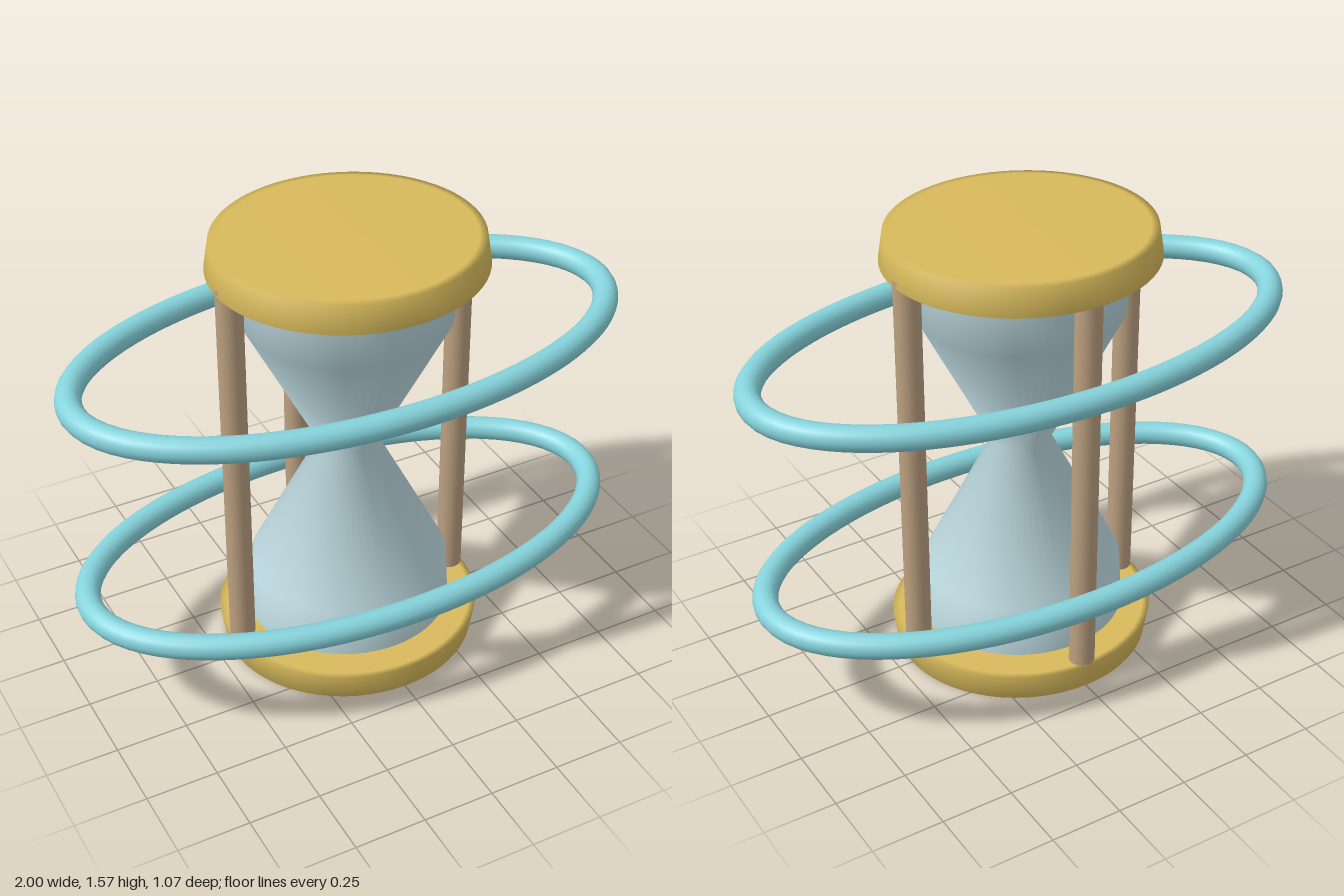
import * as THREE from 'three';

const material = (name, color, side = THREE.FrontSide) => {
  const m = new THREE.MeshStandardMaterial({ color, side });
  m.name = name;
  return m;
};

const lathe = (points) =>
  new THREE.LatheGeometry(points.map(([r, y]) => new THREE.Vector2(r, y)), 64);

// Closed horizontal ellipse for the orbit rings
class EllipseLoop extends THREE.Curve {
  getPoint(t, target = new THREE.Vector3()) {
    const a = t * Math.PI * 2;
    return target.set(0.955 * Math.cos(a), 0, 0.49 * Math.sin(a));
  }
}

export function createModel() {
  const gold = material('gold', 0xd8ba5c);
  const wood = material('wood', 0xbca080);
  const glass = material('glass', 0xbddae0);
  const aqua = material('aqua', 0x86d3dc);

  const model = new THREE.Group();
  model.name = 'hourglass';
  const add = (parent, name, geometry, mat, x = 0, y = 0, z = 0) => {
    const mesh = new THREE.Mesh(geometry, mat);
    mesh.name = name;
    mesh.position.set(x, y, z);
    parent.add(mesh);
    return mesh;
  };

  // The frame and bulbs are slightly narrower front to back
  const body = new THREE.Group();
  body.name = 'body';
  body.scale.z = 0.95;
  model.add(body);

  // End plates, each flaring toward the glass
  add(body, 'bottomPlate', lathe([[0, 0], [0.42, 0], [0.448, 0.002], [0.463, 0.1], [0.44, 0.1], [0, 0.1]]), gold);
  add(body, 'topPlate', lathe([[0, 1.475], [0.44, 1.475], [0.463, 1.475], [0.448, 1.57], [0.42, 1.572], [0, 1.572]]), gold);

  // Two bulbs meeting at a narrow neck
  add(body, 'glassBulbs', lathe([[0.36, 0.12], [0.35, 0.3], [0.1, 0.79], [0.35, 1.28], [0.36, 1.455]]), glass);
  add(body, 'glassTop', new THREE.CircleGeometry(0.36, 64), glass, 0, 1.455).rotation.x = -Math.PI / 2;
  add(body, 'glassBase', new THREE.CircleGeometry(0.36, 64), glass, 0, 0.12).rotation.x = Math.PI / 2;

  // Three posts: both sides and the back
  const post = new THREE.CylinderGeometry(0.045, 0.045, 1.42, 24);
  for (const [name, x, z] of [['leftPost', 0.418, 0], ['rightPost', -0.418, 0], ['backPost', 0, -0.415]]) {
    add(body, name, post, wood, x, 0.786, z);
  }

  // Elliptical rings around the bulbs
  const ring = new THREE.TubeGeometry(new EllipseLoop(), 96, 0.043, 16, true);
  add(model, 'lowerRing', ring, aqua, 0, 0.397);
  add(model, 'upperRing', ring, aqua, 0, 1.18);

  return model;
}
